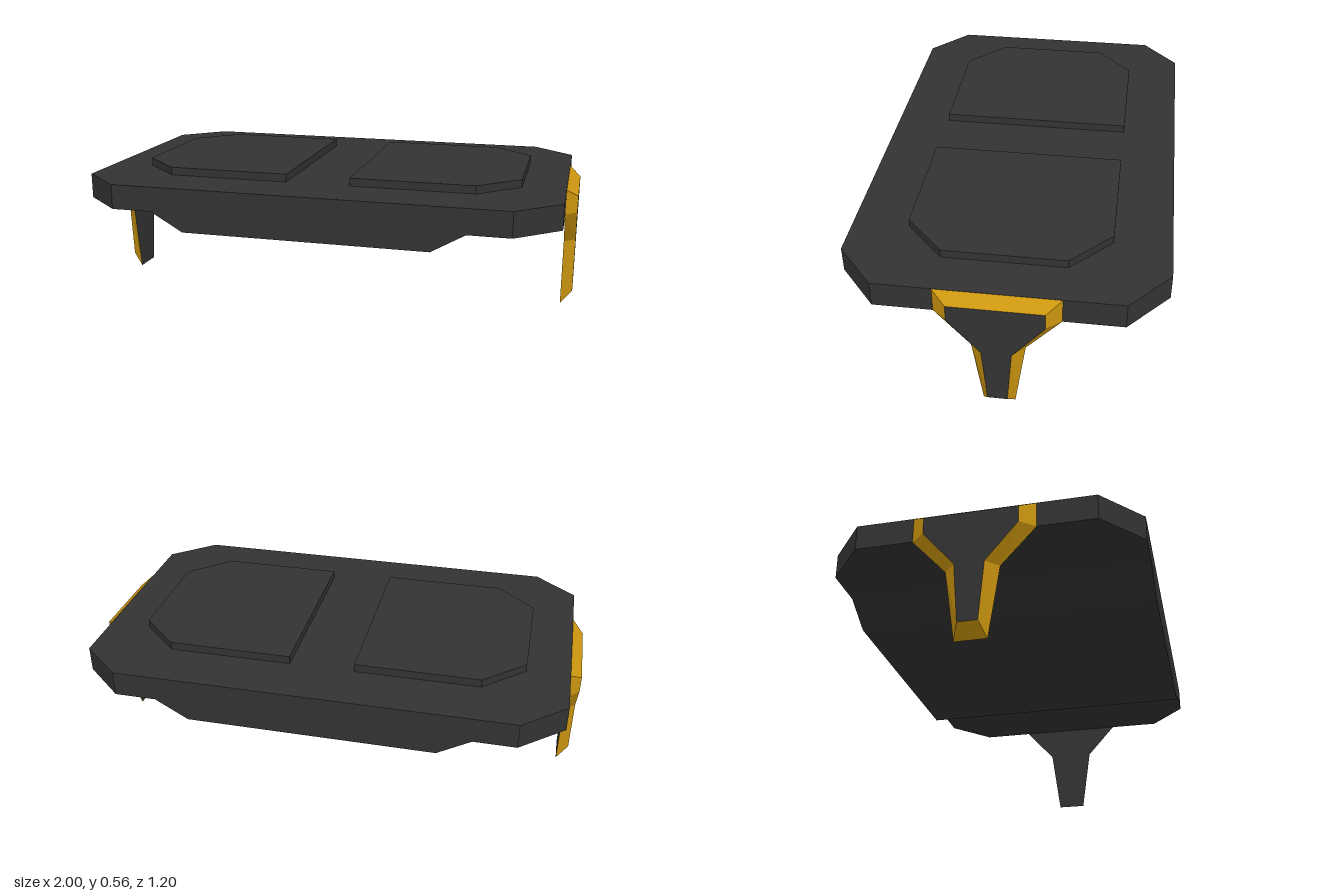
import * as THREE from 'three';

const dark = new THREE.MeshStandardMaterial({ color: 0x333333 });
dark.name = 'charcoal';
const gold = new THREE.MeshStandardMaterial({ color: 0xcc960f });
gold.name = 'gold';

function mesh(name, geometry, material) {
  const m = new THREE.Mesh(geometry, material);
  m.name = name;
  return m;
}

// Horizontal plate from an outline in (x, z), standing between y0 and y1
function plate(points, y0, y1) {
  const shape = new THREE.Shape(points.map(([x, z]) => new THREE.Vector2(x, -z)));
  const g = new THREE.ExtrudeGeometry(shape, { depth: y1 - y0, bevelEnabled: false });
  return g.rotateX(-Math.PI / 2).translate(0, y0, 0);
}

// Surfaces of a +x leg: outlines are half profiles [z, y], listed top to bottom
function legParts() {
  const mirror = (half) => [...half, ...half.slice().reverse().map(([z, y]) => [-z, y])];
  const inner = mirror([[0.23, 0.525], [0.23, 0.425], [0.1, 0.28], [0.06, 0]]);
  const outer = mirror([[0.175, 0.49], [0.175, 0.425], [0.055, 0.28], [0.037, 0.05]]);
  const xi = 0.954, xo = 1;

  // Sloping rim between the two outlines
  const rim = [];
  inner.forEach((a, i) => {
    const j = (i + 1) % inner.length;
    const A = [xi, a[1], a[0]], B = [xi, inner[j][1], inner[j][0]];
    const C = [xo, outer[j][1], outer[j][0]], D = [xo, outer[i][1], outer[i][0]];
    rim.push(...A, ...B, ...C, ...A, ...C, ...D);
  });
  const rimGeometry = new THREE.BufferGeometry();
  rimGeometry.setAttribute('position', new THREE.Float32BufferAttribute(rim, 3));
  rimGeometry.computeVertexNormals();

  // Flat faces: drawn in (-z, y), then turned to face +x or -x
  const face = (outline, x, sign) => {
    const shape = new THREE.Shape(outline.map(([z, y]) => new THREE.Vector2(-sign * z, y)));
    return new THREE.ShapeGeometry(shape).rotateY(sign * Math.PI / 2).translate(x, 0, 0);
  };
  return { rim: rimGeometry, outside: face(outer, xo, 1), inside: face(inner, xi, -1) };
}

export function createModel() {
  const model = new THREE.Group();
  model.name = 'lowTable';

  // Chamfered top slab
  model.add(mesh('topSlab', plate([
    [0.955, -0.45], [0.955, 0.45], [0.785, 0.6], [-0.785, 0.6],
    [-0.955, 0.45], [-0.955, -0.45], [-0.785, -0.6], [0.785, -0.6],
  ], 0.425, 0.525), dark));

  // Tapered underside running front to back
  const belly = new THREE.Shape([[-0.62, 0.425], [-0.49, 0.35], [0.49, 0.35], [0.62, 0.425]]
    .map(([x, y]) => new THREE.Vector2(x, y)));
  model.add(mesh('underside', new THREE.ExtrudeGeometry(belly, { depth: 1.2, bevelEnabled: false })
    .translate(0, 0, -0.6), dark));

  const pad = plate([
    [0.13, -0.383], [0.625, -0.383], [0.785, -0.232],
    [0.785, 0.232], [0.625, 0.383], [0.13, 0.383],
  ], 0.525, 0.557);
  const leg = legParts();

  // Raised pad and leg on each side
  for (const side of ['left', 'right']) {
    const half = new THREE.Group();
    half.name = side + 'Side';
    half.rotation.y = side === 'left' ? 0 : Math.PI;
    half.add(
      mesh(side + 'Pad', pad, dark),
      mesh(side + 'LegRim', leg.rim, gold),
      mesh(side + 'LegOuterPanel', leg.outside, dark),
      mesh(side + 'LegInnerPanel', leg.inside, dark),
    );
    model.add(half);
  }
  return model;
}
